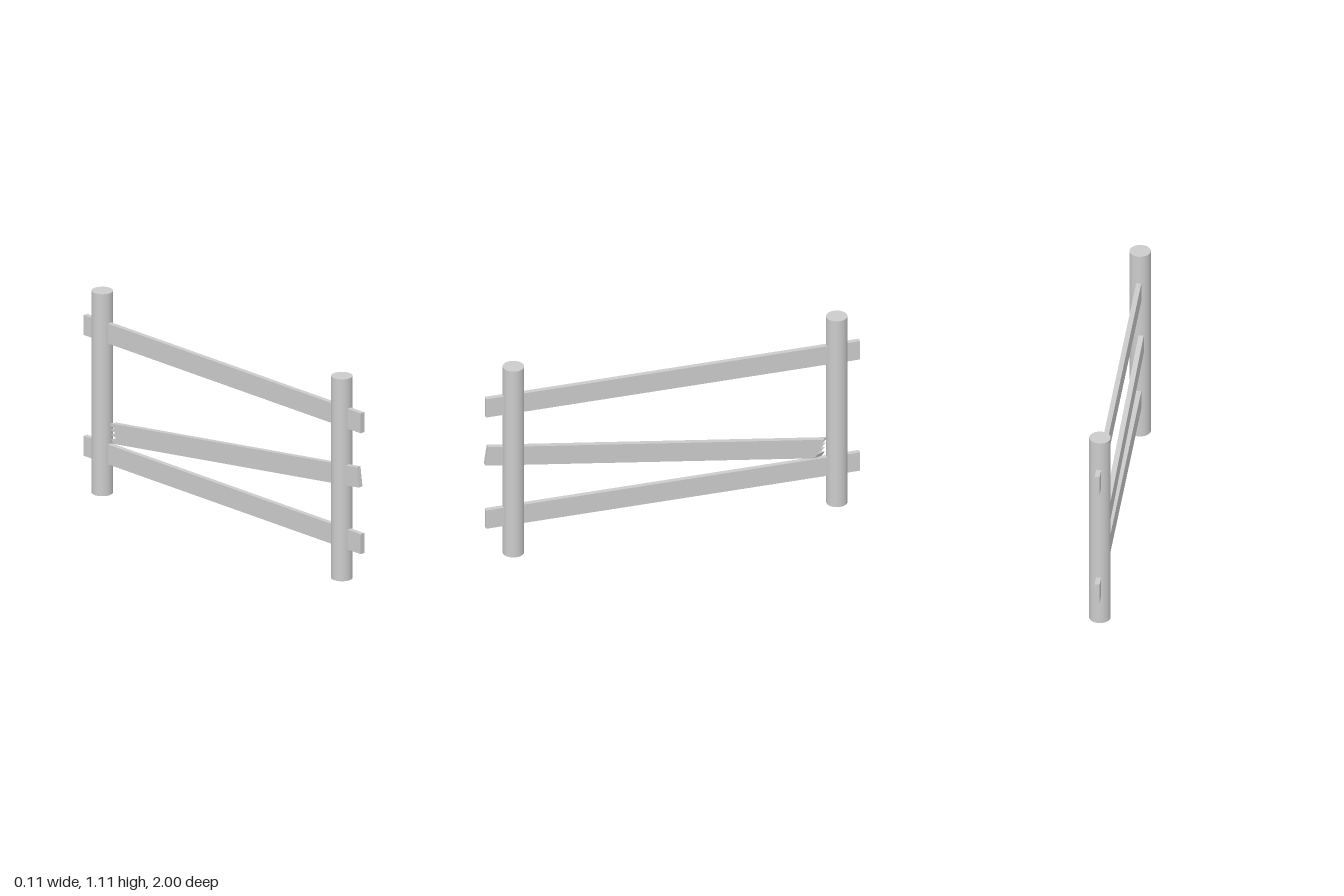
import * as THREE from 'three';

const material = new THREE.MeshStandardMaterial({ color: 0xcccccc });

function add(group, geometry, name, x, y, z) {
  const mesh = new THREE.Mesh(geometry, material);
  mesh.name = name;
  mesh.position.set(x, y, z);
  group.add(mesh);
  return mesh;
}

// Plank whose far end is snapped off in a zigzag
function brokenRailGeometry() {
  const half = 0.912, h = 0.054, thickness = 0.027;
  const teeth = [
    [0.905, -0.054], [0.918, -0.03], [0.875, -0.022], [0.915, -0.006], [0.88, 0.006],
    [0.916, 0.02], [0.885, 0.03], [0.915, 0.042], [0.912, 0.054],
  ];
  const shape = new THREE.Shape();
  shape.moveTo(-half, h);
  shape.lineTo(-half, -h);
  teeth.forEach(([u, v]) => shape.lineTo(u, v));
  shape.closePath();

  let geometry = new THREE.ExtrudeGeometry(shape, { depth: thickness, bevelEnabled: false });
  geometry.translate(0, 0, -thickness / 2);
  // Splinter: the tips on one face are shorter, so the break slopes
  const p = geometry.attributes.position;
  for (let i = 0; i < p.count; i++) {
    if (p.getZ(i) > 0 && p.getX(i) > 0.9) {
      p.setX(i, p.getX(i) - (p.getY(i) < -0.02 ? 0.045 : 0.02));
    }
  }
  geometry.computeVertexNormals();
  return geometry;
}

export function createModel() {
  const group = new THREE.Group();
  group.name = 'brokenFence';

  // Round posts
  const post = new THREE.CylinderGeometry(0.055, 0.055, 1.106, 32);
  add(group, post, 'frontPost', 0, 0.553, 0.851);
  add(group, post, 'backPost', 0, 0.553, -0.879);

  // Level rails running through the posts
  const rail = new THREE.BoxGeometry(0.026, 0.109, 2);
  add(group, rail, 'topRail', 0, 0.888, 0);
  add(group, rail, 'bottomRail', 0, 0.226, 0);

  // Fallen middle rail, tilted down toward the back and slightly skewed
  const broken = add(group, brokenRailGeometry(), 'brokenRail', -0.001, 0.467, 0.09);
  broken.rotation.set(0, Math.PI / 2 - 0.0145, -0.139);

  return group;
}
